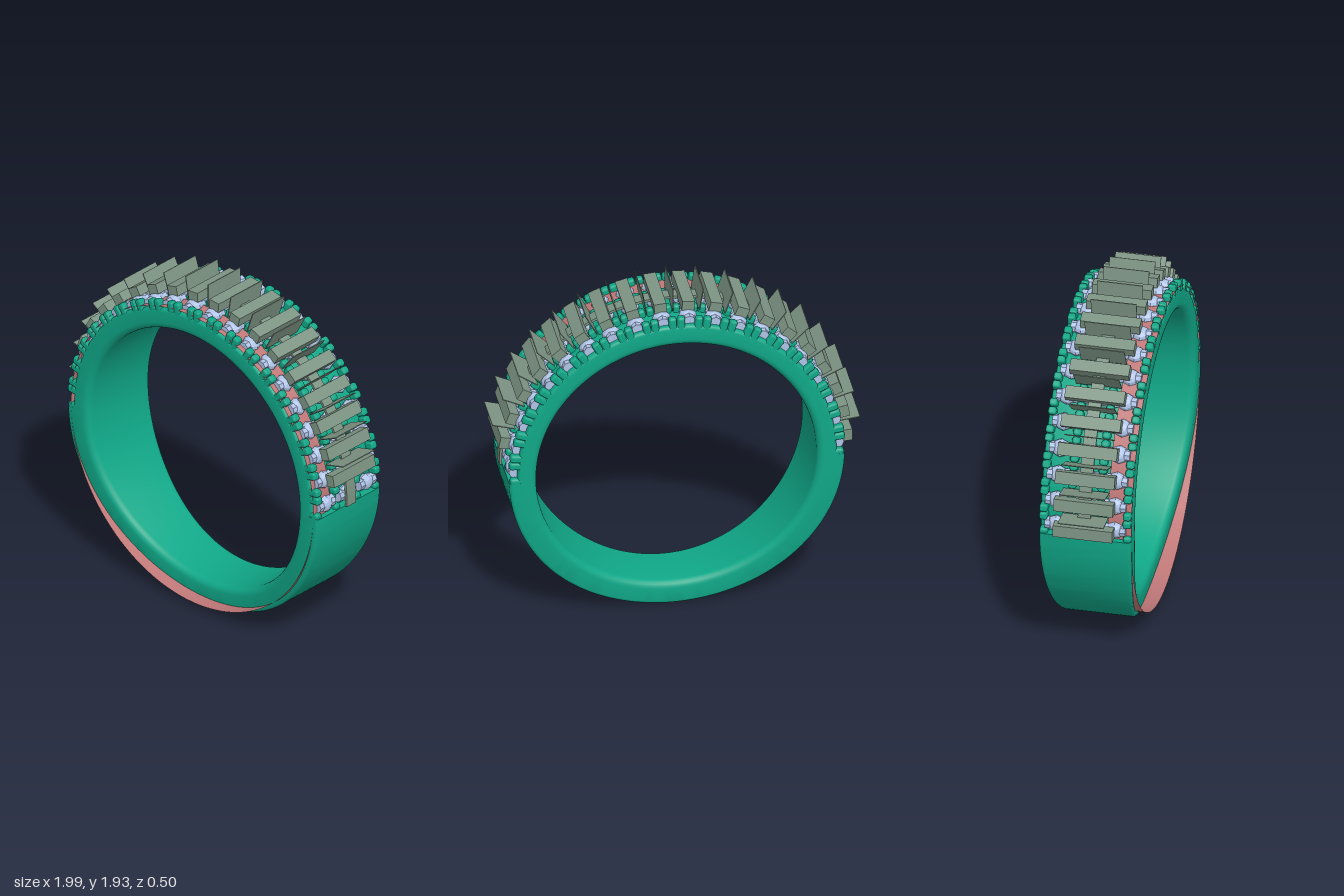
import * as THREE from 'three';
import { toCreasedNormals } from 'three/addons/utils/BufferGeometryUtils.js';
import { RoundedBoxGeometry } from 'three/addons/geometries/RoundedBoxGeometry.js';

const CX = 0.015, CY = 0.91;             // ring centre
const STEP = THREE.MathUtils.degToRad(9.25); // pitch of the stones
const END = THREE.MathUtils.degToRad(91.5);  // where the set half stops
const OUTER = 0.91, CHANNEL = 0.865;

const material = (color, extra = {}) => new THREE.MeshStandardMaterial({ color, ...extra });
const green = material(0x10a888);
const pink = material(0xc07878, { side: THREE.DoubleSide });
const blue = material(0xb0c4e8, { flatShading: true });
const sage = material(0x7d9484);

// Rounded cross-section of the band, as [radius, z] pairs
function section(inner, outer, w) {
  const corners = [[inner, -w, 0.04], [outer, -w, 0.018], [outer, w, 0.018], [inner, w, 0.04]];
  const points = [];
  corners.forEach(([r, z, round], k) => {
    const sr = k === 1 || k === 2 ? -1 : 1, sz = k < 2 ? 1 : -1;
    for (let i = 0; i <= 5; i++) {
      const a = Math.PI + (k + i / 5) * Math.PI / 2;
      points.push([r + sr * round + Math.cos(a) * round, z + sz * round + Math.sin(a) * round]);
    }
  });
  return points;
}

// Band swept around the ring: lowered on the set half, tapering below it
function bandGeometry() {
  const rings = [];
  const addArc = (from, to, count, outer) => {
    for (let i = 0; i <= count; i++) {
      const a = from + (to - from) * i / count;
      const t = Math.max(0, -Math.cos(a));
      const w = 0.25 - 0.085 * Math.pow(t, 2.2);
      rings.push([a, section(0.76 - 0.0175 * Math.cos(a), outer, w)]);
    }
  };
  addArc(-END, END, 80, CHANNEL);
  addArc(END, 2 * Math.PI - END, 80, OUTER);
  const positions = [], index = [], n = rings[0][1].length;
  for (const [a, pts] of rings) {
    for (const [r, z] of pts) positions.push(CX + r * Math.sin(a), CY + r * Math.cos(a), z);
  }
  for (let i = 0; i < rings.length; i++) {
    const next = (i + 1) % rings.length;
    for (let j = 0; j < n; j++) {
      const k = (j + 1) % n;
      const a = i * n + j, b = i * n + k, c = next * n + j, d = next * n + k;
      index.push(a, b, d, a, d, c);
    }
  }
  const geometry = new THREE.BufferGeometry();
  geometry.setAttribute('position', new THREE.Float32BufferAttribute(positions, 3));
  geometry.setIndex(index);
  return toCreasedNormals(geometry, 0.6);
}

export function createModel() {
  const model = new THREE.Group();

  const add = (name, geometry, mat, parent = model) => {
    const mesh = new THREE.Mesh(geometry, mat);
    mesh.name = name;
    parent.add(mesh);
    return mesh;
  };
  const group = (name) => {
    const g = new THREE.Group();
    g.name = name;
    model.add(g);
    return g;
  };
  // Stand a part on the ring: its y points outward, its x along the rim
  const place = (part, angle, radius, z = 0) => {
    part.position.set(CX + radius * Math.sin(angle), CY + radius * Math.cos(angle), z);
    part.rotation.z = -angle;
  };

  add('band', bandGeometry(), green);

  // Thin sleeve under the stones of the front row
  const sleeve = add('sleeve', new THREE.CylinderGeometry(0.88, 0.88, 0.13, 128, 1, true), pink);
  sleeve.rotation.x = Math.PI / 2;
  sleeve.position.set(CX, CY, 0.185);

  // Three rows of stones, each a faceted dome with a lobe to either side
  const stones = group('stones');
  const dome = new THREE.SphereGeometry(0.05, 8, 6).scale(1, 0.72, 1);
  const lobe = new THREE.CylinderGeometry(0.034, 0.034, 0.12, 8).rotateX(Math.PI / 2);
  for (let i = -10; i < 10; i++) {
    for (const z of [-0.16, 0, 0.16]) {
      const stone = new THREE.Group();
      stone.name = 'stone';
      add('stoneDome', dome, blue, stone);
      add('stoneLobe', lobe, blue, stone).position.y = -0.005;
      place(stone, (i + 0.5) * STEP, 0.88, z);
      stones.add(stone);
    }
  }

  // Paired prongs between the stones: tall ones on the rims, two inner rows
  const prongs = group('prongs');
  const rimProng = new RoundedBoxGeometry(0.043, 0.09, 0.045, 1, 0.013);
  const innerProng = new RoundedBoxGeometry(0.04, 0.07, 0.045, 1, 0.014);
  for (let i = -9; i <= 9; i++) {
    for (const side of [-1, 1]) {
      for (const shift of [-0.0235, 0.0235]) {
        const angle = i * STEP + shift / OUTER;
        place(add('rimProng', rimProng, green, prongs), angle, 0.869, side * 0.2275);
        place(add('innerProng', innerProng, green, prongs), angle, 0.87, side * 0.08);
      }
    }
  }
  // Short prongs closing both ends of the rows
  for (const end of [-1, 1]) {
    for (const z of [-0.2275, -0.08, 0.08, 0.2275]) {
      place(add('endProng', innerProng, green, prongs), end * (END - 0.008), 0.87, z);
    }
  }

  // Narrow curved strip along the middle of the set half
  const arc = new THREE.Shape();
  const from = Math.PI / 2 - END, to = Math.PI / 2 + END;
  arc.absarc(0, 0, 0.926, from, to, false);
  arc.absarc(0, 0, 0.912, to, from, true);
  const stripGeometry = new THREE.ExtrudeGeometry(arc, { depth: 0.07, bevelEnabled: false, curveSegments: 64 });
  add('centreStrip', stripGeometry, sage).position.set(CX, CY, -0.035);

  // Cross bars over the stones
  const bars = group('crossBars');
  const bar = new THREE.BoxGeometry(0.068, 0.055, 0.325);
  for (let i = -10; i < 9; i++) place(add('crossBar', bar, sage, bars), (i + 0.5) * STEP, 0.938);

  // Thin upright fins between the bars
  const fins = group('fins');
  const fin = new THREE.BoxGeometry(0.005, 0.13, 0.25);
  for (let i = -9; i <= 8; i++) place(add('fin', fin, sage, fins), i * STEP, 0.955);

  return model;
}
